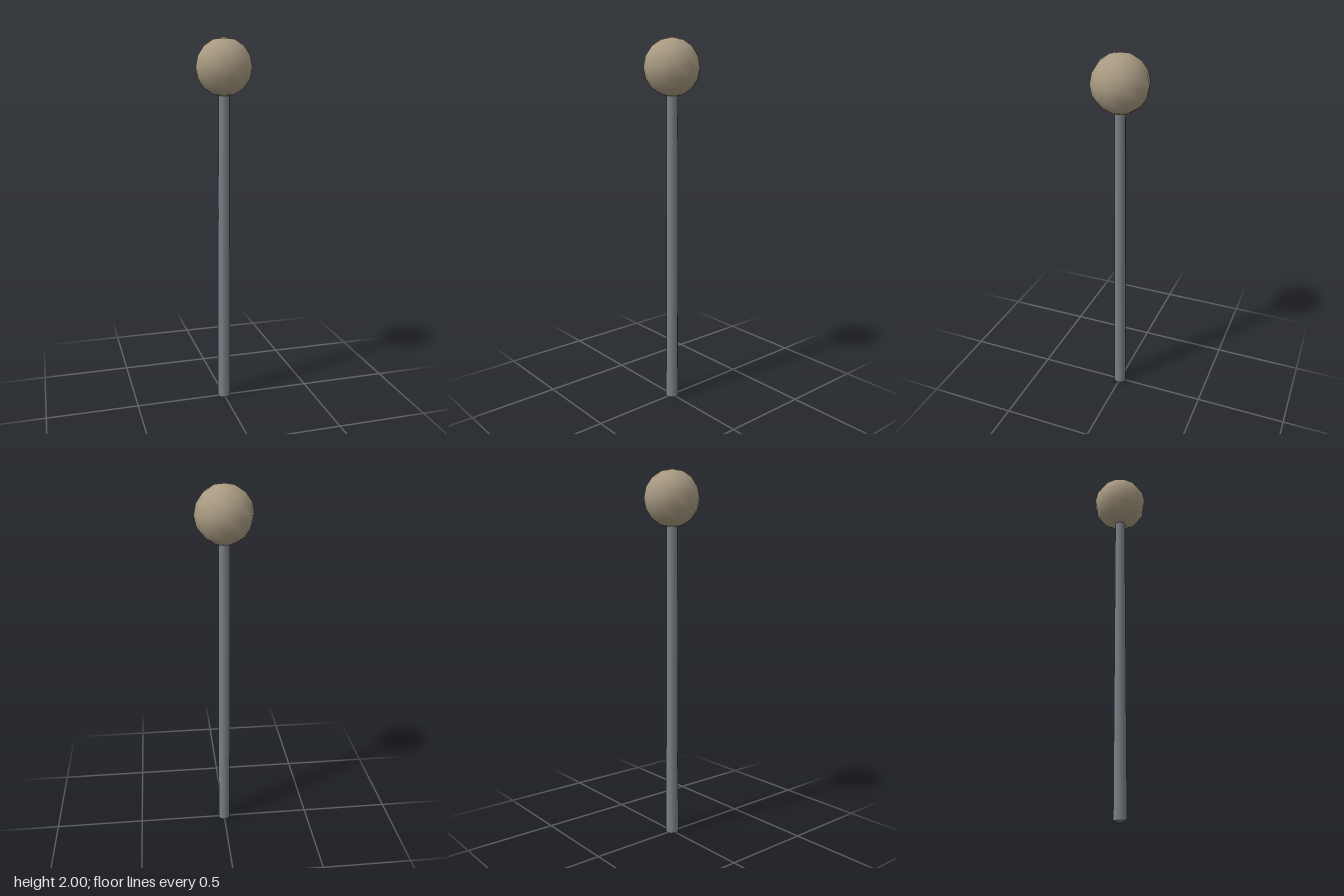
import * as THREE from 'three';

export function createModel() {
  const model = new THREE.Group();
  const add = (name, geometry, color, y) => {
    const mesh = new THREE.Mesh(geometry, new THREE.MeshStandardMaterial({ color }));
    mesh.name = name;
    mesh.position.y = y;
    model.add(mesh);
  };

  // Slightly tapered pole, its top end sunk into the ball
  const poleHeight = 1.73;
  add('pole', new THREE.CylinderGeometry(0.029, 0.035, poleHeight, 10), 0x7a8087, poleHeight / 2);

  // Low-poly, smooth-shaded ball on top
  const radius = 0.15;
  add('ball', new THREE.SphereGeometry(radius, 12, 8), 0xa89a82, 2 - radius);

  return model;
}
